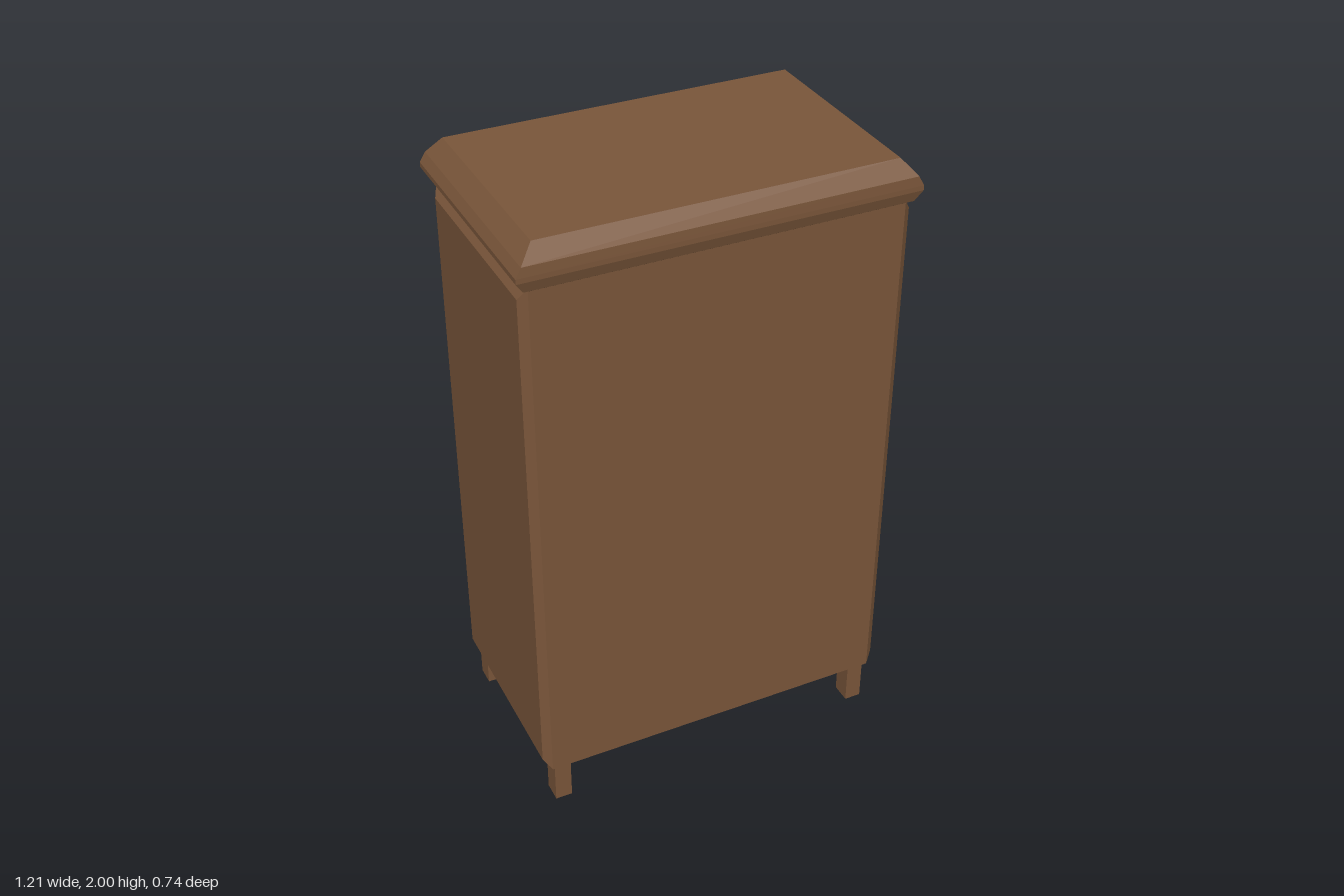
import * as THREE from 'three';

const material = (color) => new THREE.MeshStandardMaterial({ color, flatShading: true });

// Joins rectangles [t, aMin, aMax, bMin, bMax], t rising, into a closed bevelled block.
// The axes run in cyclic order: x -> (y, z), y -> (z, x), z -> (x, y).
function bevelBlock(axis, rings) {
  const k = 'xyz'.indexOf(axis);
  const points = [];
  for (const [t, a0, a1, b0, b1] of rings) {
    for (const [a, b] of [[a0, b0], [a1, b0], [a1, b1], [a0, b1]]) {
      const p = [0, 0, 0];
      p[k] = t;
      p[(k + 1) % 3] = a;
      p[(k + 2) % 3] = b;
      points.push(...p);
    }
  }
  const index = [];
  const quad = (a, b, c, d) => index.push(a, b, c, a, c, d);
  quad(3, 2, 1, 0);
  for (let r = 0; r < rings.length - 1; r++) {
    for (let i = 0; i < 4; i++) {
      const j = (i + 1) % 4, o = r * 4;
      quad(o + i, o + j, o + 4 + j, o + 4 + i);
    }
  }
  const e = (rings.length - 1) * 4;
  quad(e, e + 1, e + 2, e + 3);
  const g = new THREE.BufferGeometry();
  g.setAttribute('position', new THREE.Float32BufferAttribute(points, 3));
  g.setIndex(index);
  const flat = g.toNonIndexed();
  flat.computeVertexNormals();
  return flat;
}

export function createModel() {
  const model = new THREE.Group();
  model.name = 'bookcase';
  const wood = material(0x7a563a);

  const add = (name, geometry, mat = wood, parent = model) => {
    const mesh = new THREE.Mesh(geometry, mat);
    mesh.name = name;
    parent.add(mesh);
    return mesh;
  };
  const board = (name, x0, x1, y0, y1, z0, z1) => {
    const mesh = add(name, new THREE.BoxGeometry(x1 - x0, y1 - y0, z1 - z0));
    mesh.position.set((x0 + x1) / 2, (y0 + y1) / 2, (z0 + z1) / 2);
  };

  // Side walls with a raised, bevelled outer face
  const side = [
    [0.505, 0.145, 1.87, -0.35, 0.345],
    [0.565, 0.145, 1.87, -0.35, 0.345],
    [0.59, 0.18, 1.835, -0.3, 0.325],
  ];
  add('leftSide', bevelBlock('x', side));
  add('rightSide', bevelBlock('x', side.map(([t, ...r]) => [-t, ...r]).reverse()));

  // Closed panel, ceiling, bottom and shelves
  board('closedPanel', -0.505, 0.505, 0.145, 1.87, 0.325, 0.345);
  board('ceiling', -0.505, 0.505, 1.82, 1.87, -0.35, 0.325);
  board('bottom', -0.505, 0.505, 0.145, 0.165, -0.35, 0.325);
  for (const [name, top] of [['upperShelf', 1.45], ['middleShelf', 1.055], ['lowerShelf', 0.57]]) {
    board(name, -0.505, 0.505, top - 0.036, top, -0.33, 0.325);
  }

  // Drawer with bevelled face on the open side
  add('drawer', bevelBlock('z', [
    [-0.372, -0.45, 0.45, 0.185, 0.54],
    [-0.345, -0.495, 0.495, 0.155, 0.568],
    [-0.3, -0.495, 0.495, 0.155, 0.568],
  ]));

  // Moulded top
  add('top', bevelBlock('y', [
    [1.865, 0.56, 0.347],
    [1.872, 0.583, 0.358],
    [1.905, 0.605, 0.368],
    [1.92, 0.605, 0.368],
    [1.95, 0.588, 0.366],
    [2.0, 0.545, 0.331],
  ].map(([y, x, z]) => [y, -z, z, -x, x])));

  // Legs
  for (const [sx, xName] of [[1, 'Left'], [-1, 'Right']]) {
    for (const [z, zName] of [[0.302, 'front'], [-0.297, 'back']]) {
      const leg = add(`${zName}${xName}Leg`, new THREE.BoxGeometry(0.054, 0.146, 0.064));
      leg.position.set(sx * 0.528, 0.073, z);
    }
  }

  // Books leaning against the right wall
  const books = new THREE.Group();
  books.name = 'books';
  model.add(books);
  const lean = 0.31, thick = 0.06, tall = 0.29;
  const red = material(0xd94545), green = material(0x8fb87c), blue = material(0x6074b8);
  [red, green, blue, red].forEach((mat, i) => {
    const g = new THREE.BoxGeometry(thick, tall, 0.19);
    g.translate(-thick / 2, tall / 2, 0);
    const book = add(`book${i + 1}`, g, mat, books);
    book.rotation.z = lean;
    book.position.set(-0.1 - i * 0.083, 1.45 + thick * Math.sin(lean), -0.075);
  });

  return model;
}
